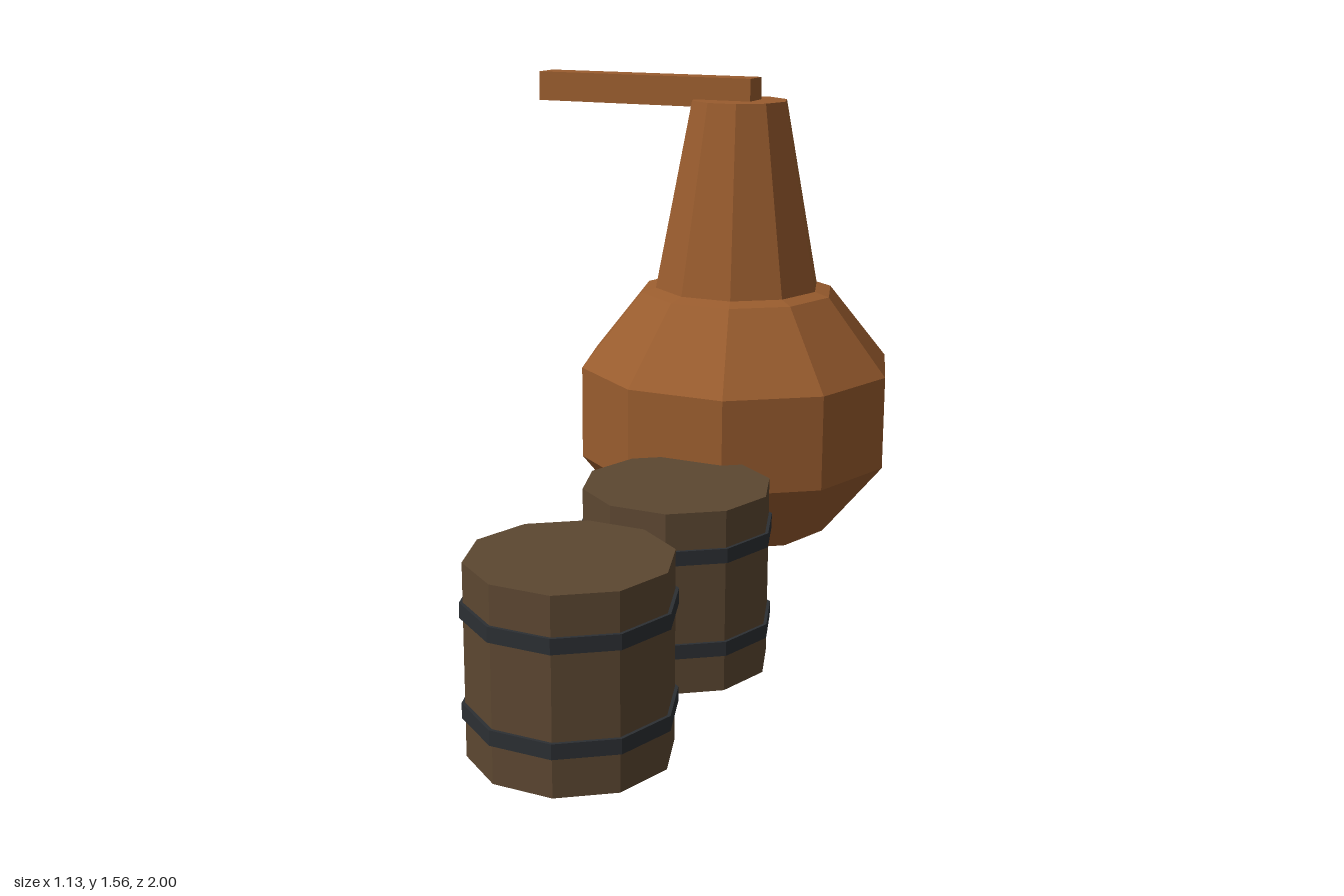
import * as THREE from 'three';

const SIDES = 10;

function flatMaterial(name, color) {
  const m = new THREE.MeshStandardMaterial({ color, flatShading: true });
  m.name = name;
  return m;
}

export function createModel() {
  const copper = flatMaterial('copper', 0x995c2e);
  const wood = flatMaterial('dark wood', 0x5c4731);
  const iron = flatMaterial('iron', 0x2c2f33);

  const add = (parent, name, geometry, material, x, y, z) => {
    const mesh = new THREE.Mesh(geometry, material);
    mesh.name = name;
    mesh.position.set(x, y, z);
    parent.add(mesh);
    return mesh;
  };
  // Ten-sided drum with corners on the x axis
  const drum = (top, bottom, height, open = false) =>
    new THREE.CylinderGeometry(top, bottom, height, SIDES, 1, open).rotateY(Math.PI / 2);

  const model = new THREE.Group();
  model.name = 'distillery';

  // Still: squashed pot, tapering neck and side pipe
  const still = new THREE.Group();
  still.name = 'still';
  still.position.set(0.086, 0, -0.545);
  model.add(still);
  add(still, 'pot', new THREE.SphereGeometry(0.504, SIDES, 5).scale(1, 0.9, 1), copper, 0, 0.557, 0);
  add(still, 'neck', drum(0.145, 0.252, 0.56), copper, 0, 1.217, 0);
  add(still, 'pipe', new THREE.BoxGeometry(0.706, 0.088, 0.088), copper, -0.302, 1.519, 0);

  // Two hooped barrels
  for (const z of [0.115, 0.742]) {
    const barrel = new THREE.Group();
    barrel.name = 'barrel';
    barrel.position.set(0.188, 0, z);
    model.add(barrel);
    add(barrel, 'barrelBody', drum(0.262, 0.262, 0.508), wood, 0, 0.254, 0);
    for (const y of [0.123, 0.386]) {
      add(barrel, 'hoop', drum(0.271, 0.271, 0.04), iron, 0, y, 0);
    }
  }
  return model;
}
